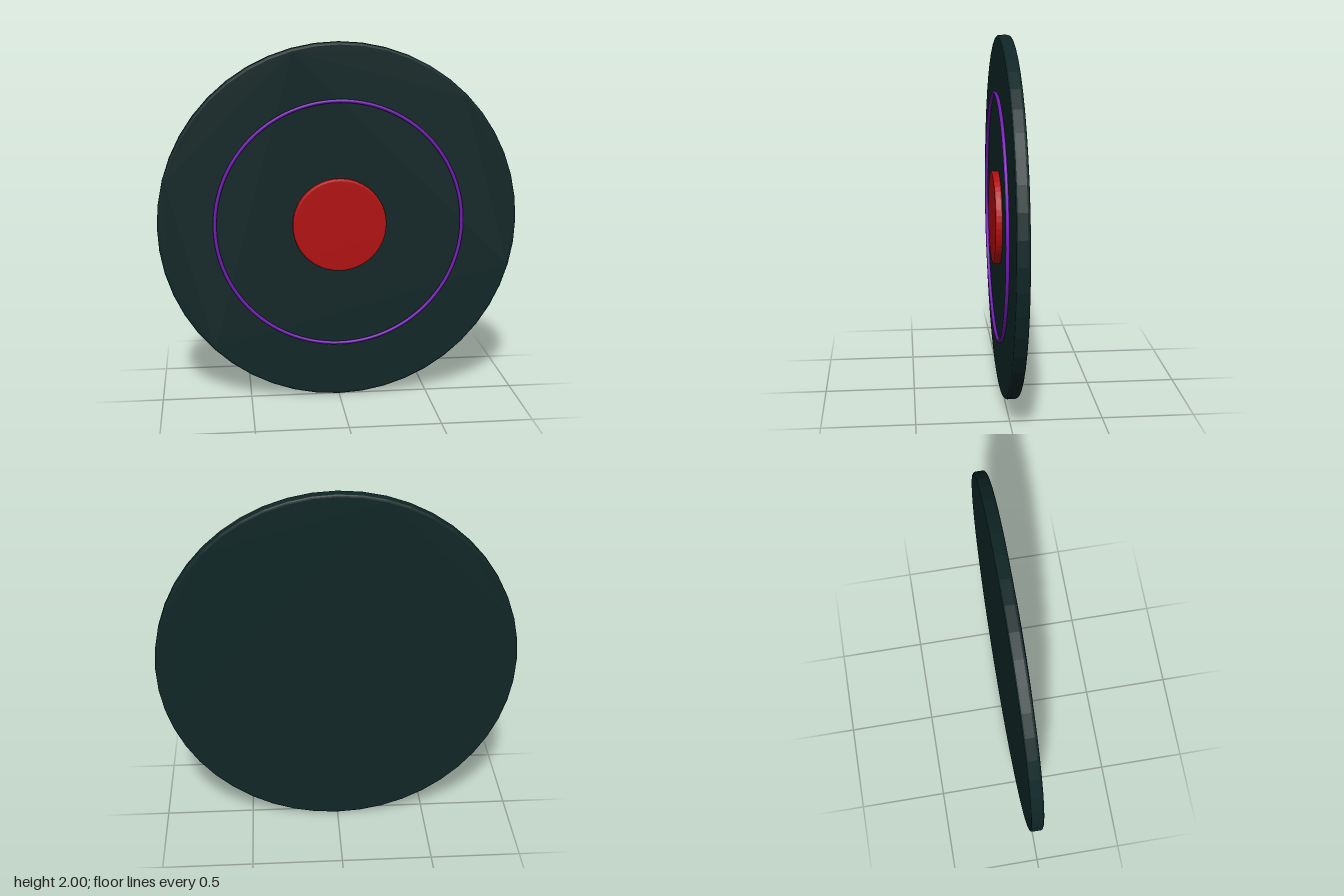
import * as THREE from 'three';

// Round plate with softly bevelled rims, spanning zBack..zFront
function bevelledDisc(radius, zBack, zFront, bevel, material, name) {
  const shape = new THREE.Shape();
  shape.absarc(0, 0, radius - bevel, 0, Math.PI * 2, false);
  const geometry = new THREE.ExtrudeGeometry(shape, {
    depth: zFront - zBack - 2 * bevel,
    curveSegments: 24,
    bevelEnabled: true,
    bevelThickness: bevel,
    bevelSize: bevel,
    bevelSegments: 3,
  });
  geometry.translate(0, 0, zBack + bevel);
  const mesh = new THREE.Mesh(geometry, material);
  mesh.name = name;
  return mesh;
}

export function createModel() {
  const teal = new THREE.MeshStandardMaterial({ color: 0x102626 });
  teal.name = 'dark teal';
  const purple = new THREE.MeshStandardMaterial({ color: 0x6f1bb0 });
  purple.name = 'purple';
  const red = new THREE.MeshStandardMaterial({ color: 0xb00e0e });
  red.name = 'red';

  const disc = new THREE.Group();
  disc.name = 'disc';

  // Main plate
  disc.add(bevelledDisc(1, -0.053, 0.016, 0.014, teal, 'plate'));

  // Thin raised ring on the front
  const ring = new THREE.Mesh(new THREE.TorusGeometry(0.686, 0.01, 12, 96), purple);
  ring.name = 'ring';
  ring.position.z = 0.029;
  disc.add(ring);

  // Centre button
  disc.add(bevelledDisc(0.26, 0.012, 0.053, 0.01, red, 'centreButton'));

  disc.position.y = 1;
  const model = new THREE.Group();
  model.name = 'targetDisc';
  model.add(disc);
  return model;
}
